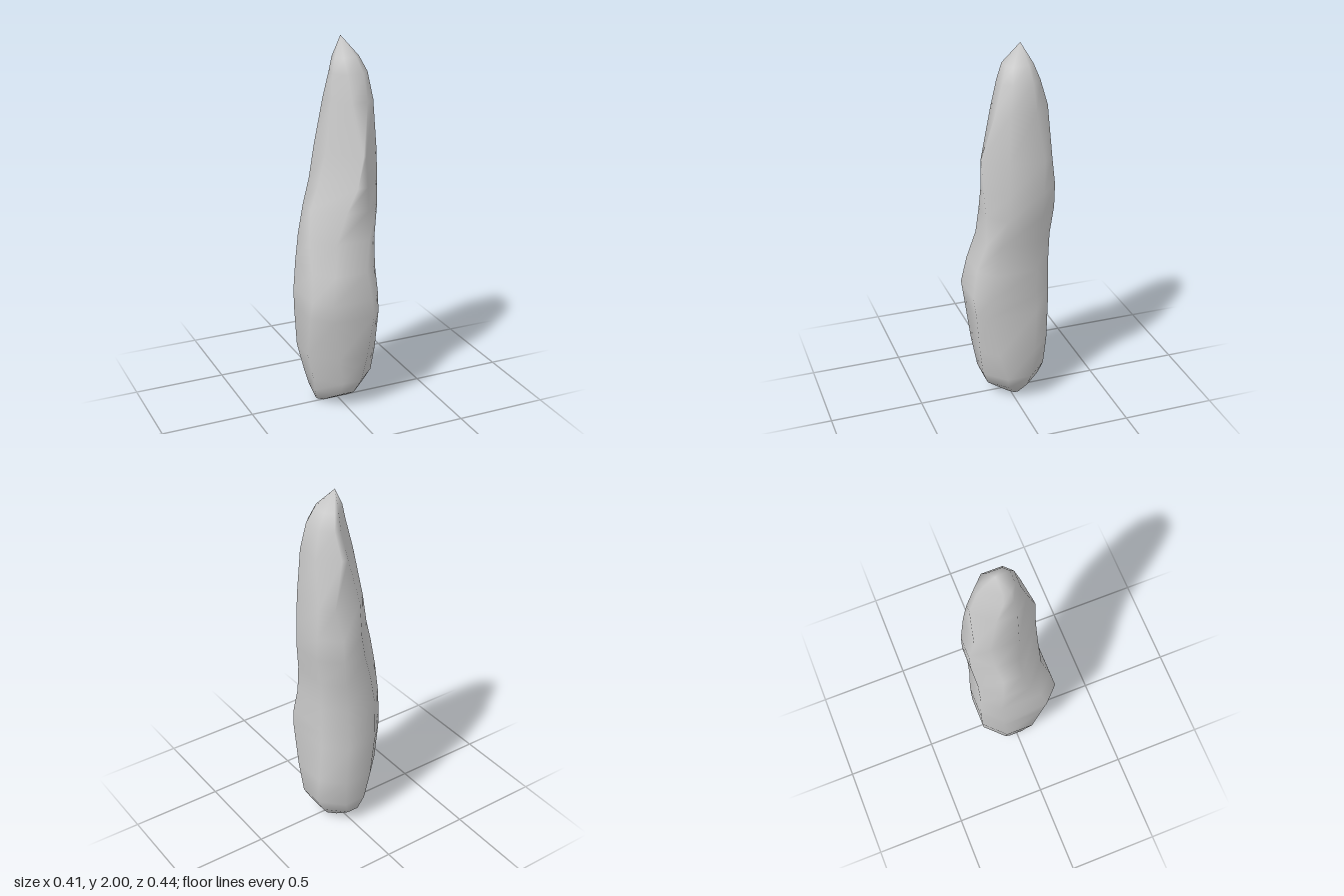
import * as THREE from 'three';

// Cross-sections: height, then how far the outline reaches in eight
// directions, turning from +x through +z, -x and -z.
const SECTIONS = [
  [0.01, [0.08, 0.05, 0.02, 0.08, 0.12, 0.10, 0.07, 0.08]],
  [0.08, [0.13, 0.12, 0.13, 0.12, 0.145, 0.14, 0.165, 0.14]],
  [0.16, [0.175, 0.165, 0.165, 0.145, 0.16, 0.175, 0.185, 0.175]],
  [0.32, [0.175, 0.2, 0.19, 0.185, 0.2, 0.205, 0.2, 0.19]],
  [0.55, [0.165, 0.235, 0.215, 0.225, 0.205, 0.225, 0.21, 0.19]],
  [0.65, [0.165, 0.23, 0.225, 0.245, 0.205, 0.225, 0.21, 0.19]],
  [0.80, [0.165, 0.2, 0.2, 0.21, 0.19, 0.22, 0.205, 0.19]],
  [0.96, [0.17, 0.19, 0.155, 0.16, 0.18, 0.2, 0.205, 0.2]],
  [1.12, [0.2, 0.187, 0.155, 0.12, 0.155, 0.175, 0.22, 0.225]],
  [1.25, [0.2, 0.185, 0.163, 0.085, 0.11, 0.16, 0.22, 0.23]],
  [1.42, [0.195, 0.18, 0.17, 0.07, 0.075, 0.145, 0.19, 0.23]],
  [1.68, [0.18, 0.16, 0.105, 0.05, 0.045, 0.09, 0.18, 0.19]],
  [1.82, [0.155, 0.13, 0.07, 0.03, 0.03, 0.05, 0.135, 0.165]],
  [1.90, [0.115, 0.09, 0.04, 0.015, 0.015, 0.035, 0.105, 0.13]],
];
const SIDES = 8;

// Corner where the outline's side i meets the next side
function corner(reach, i) {
  const angle = (i * Math.PI) / 4;
  const out = reach[i];
  const along = Math.SQRT2 * reach[(i + 1) % SIDES] - out;
  return [
    out * Math.cos(angle) - along * Math.sin(angle),
    out * Math.sin(angle) + along * Math.cos(angle),
  ];
}

function spireGeometry() {
  const positions = [];
  const index = [];
  for (const [y, reach] of SECTIONS) {
    for (let i = 0; i < SIDES; i++) {
      const [x, z] = corner(reach, i);
      positions.push(x, y, z);
    }
  }

  // Walls between neighbouring sections
  const last = (SECTIONS.length - 1) * SIDES;
  for (let r = 0; r < last; r += SIDES) {
    for (let i = 0; i < SIDES; i++) {
      const j = (i + 1) % SIDES;
      const a = r + i, b = r + j, c = a + SIDES, d = b + SIDES;
      index.push(a, c, b, b, c, d);
    }
  }

  // Blunt foot and pointed tip
  const foot = positions.length / 3;
  const tip = foot + 1;
  positions.push(-0.02, 0, -0.05, 0.04, 2, -0.05);
  for (let i = 0; i < SIDES; i++) {
    const j = (i + 1) % SIDES;
    index.push(foot, i, j, last + i, tip, last + j);
  }

  const geometry = new THREE.BufferGeometry();
  geometry.setAttribute('position', new THREE.Float32BufferAttribute(positions, 3));
  geometry.setIndex(index);
  geometry.computeVertexNormals();
  return geometry;
}

export function createModel() {
  const group = new THREE.Group();
  const spire = new THREE.Mesh(
    spireGeometry(),
    new THREE.MeshStandardMaterial({ color: 0xcccccc }),
  );
  spire.name = 'rockSpire';
  group.add(spire);
  return group;
}
